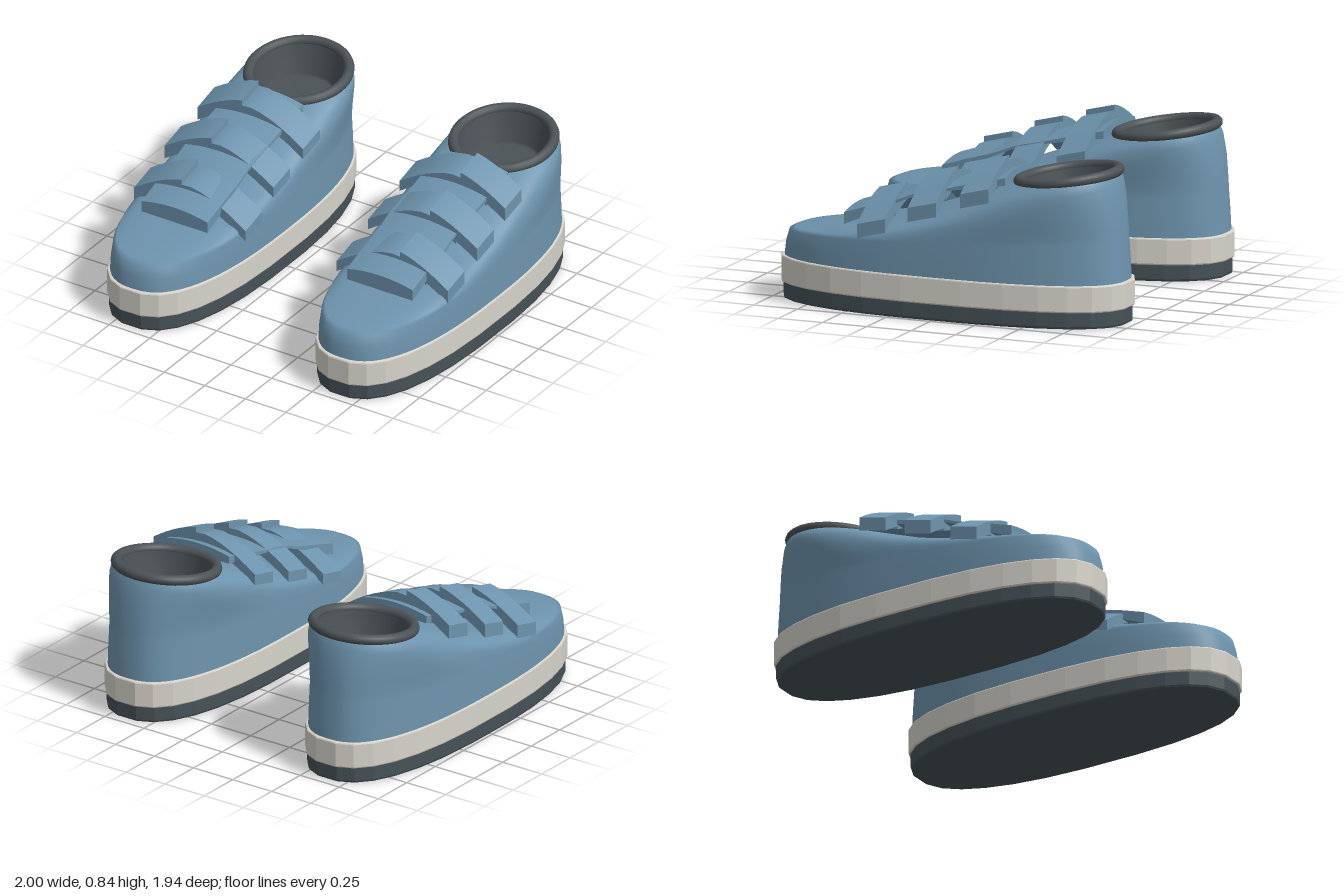
import * as THREE from 'three';

const material = (name, color, side = THREE.FrontSide) => {
  const m = new THREE.MeshStandardMaterial({ color, side });
  m.name = name;
  return m;
};

// Piecewise linear lookup through [position, value] pairs, position descending
function lookup(table, p) {
  for (let i = 0; i < table.length - 1; i++) {
    const [a, va] = table[i], [b, vb] = table[i + 1];
    if (p >= b) return THREE.MathUtils.lerp(va, vb, (p - a) / (b - a));
  }
  return table[table.length - 1][1];
}

// Point on a unit oval: power 1 is an ellipse, a lower power is fuller
function ovalPoint(a, power) {
  const f = (v) => Math.sign(v) * Math.abs(v) ** power;
  return [f(Math.sin(a)), f(Math.cos(a))];
}

// Bevelled oval slab between two heights
function ovalSlab(rx, rz, y0, y1, bevel) {
  const shape = new THREE.Shape();
  const sides = 28;
  for (let i = 0; i < sides; i++) {
    const [u, v] = ovalPoint(((i + 0.5) / sides) * Math.PI * 2, 0.8);
    const x = u * (rx - bevel), z = -v * (rz - bevel);
    if (i) shape.lineTo(x, z); else shape.moveTo(x, z);
  }
  const geo = new THREE.ExtrudeGeometry(shape, {
    depth: y1 - y0 - 2 * bevel, bevelEnabled: true,
    bevelSize: bevel, bevelThickness: bevel, bevelSegments: 2,
  });
  geo.rotateX(-Math.PI / 2);
  geo.translate(0, y0 + bevel, 0);
  return geo;
}

// Box bent so its top and bottom follow two height functions
function bentSlab(x0, x1, z0, z1, top, bottom, nx = 10, nz = 1) {
  const geo = new THREE.BoxGeometry(1, 1, 1, nx, 1, nz);
  const p = geo.attributes.position;
  for (let i = 0; i < p.count; i++) {
    const x = THREE.MathUtils.lerp(x0, x1, p.getX(i) + 0.5);
    const z = THREE.MathUtils.lerp(z0, z1, p.getZ(i) + 0.5);
    p.setXYZ(i, x, p.getY(i) > 0 ? top(x, z) : bottom(x, z), z);
  }
  geo.computeVertexNormals();
  return geo;
}

// Skin through tilted oval rings:
// [front z, front y, back z, back y, half width, oval power, sideways shift]
function upperGeometry(inward) {
  const rings = [
    [0.955, 0.215, -0.955, 0.215, 0.349, 0.8, 0],
    [0.945, 0.30, -0.948, 0.34, 0.348, 0.8, 0],
    [0.925, 0.365, -0.94, 0.45, 0.346, 0.8, 0],
    [0.89, 0.379, -0.938, 0.49, 0.345, 0.8, 0],
    [0.65, 0.414, -0.932, 0.56, 0.343, 0.81, 0],
    [0.40, 0.455, -0.925, 0.63, 0.34, 0.83, 0.002],
    [0.18, 0.515, -0.917, 0.68, 0.335, 0.86, 0.004],
    [-0.05, 0.60, -0.908, 0.73, 0.324, 0.9, 0.006],
    [-0.25, 0.68, -0.897, 0.765, 0.3, 0.96, 0.008],
    [-0.355, 0.72, -0.885, 0.79, 0.265, 1, 0.01],
  ];
  const n = 64, pos = [], index = [];
  for (const [zf, yf, zb, yb, w, power, shift] of rings) {
    for (let i = 0; i < n; i++) {
      const [u, v] = ovalPoint((i / n) * Math.PI * 2, power);
      const t = (1 + v) / 2;
      pos.push(u * w + shift * inward, THREE.MathUtils.lerp(yb, yf, t), THREE.MathUtils.lerp(zb, zf, t));
    }
  }
  for (let r = 0; r < rings.length - 1; r++) {
    for (let i = 0; i < n; i++) {
      const j = (i + 1) % n, a = r * n + i, b = r * n + j;
      index.push(a, b, a + n, b, b + n, a + n);
    }
  }
  const geo = new THREE.BufferGeometry();
  geo.setAttribute('position', new THREE.Float32BufferAttribute(pos, 3));
  geo.setIndex(index);
  geo.computeVertexNormals();
  return geo;
}

export function createModel() {
  const blue = material('blue fabric', 0x6e94ae);
  const blueOpen = material('blue upper', 0x6e94ae, THREE.DoubleSide);
  const white = material('off-white rubber', 0xd6d4cb);
  const dark = material('dark rubber', 0x465157);
  const grey = material('grey padding', 0x4b5255);
  const greyOpen = material('grey lining', 0x4b5255, THREE.DoubleSide);

  // outward is +1 or -1: the side of the shoe that carries the strap tabs
  function createShoe(outward) {
    const shoe = new THREE.Group();
    const add = (name, geo, mat, parent = shoe) => {
      const mesh = new THREE.Mesh(geo, mat);
      mesh.name = name;
      parent.add(mesh);
      return mesh;
    };

    add('outsole', ovalSlab(0.351, 0.964, 0, 0.1, 0.014), dark);
    add('midsole', ovalSlab(0.358, 0.976, 0.088, 0.23, 0.008), white);
    add('upper', upperGeometry(-outward), blueOpen);

    // Collar, tongue and straps sit slightly towards the inner side
    const fittings = new THREE.Group();
    fittings.name = 'fittings';
    fittings.position.x = -0.01 * outward;
    shoe.add(fittings);

    // Padded collar tilted up towards the heel, with a lining that leans forward
    const opening = new THREE.Group();
    opening.name = 'opening';
    opening.position.set(0, 0.758, -0.622);
    opening.rotation.x = 0.134;
    fittings.add(opening);
    add('collar', new THREE.TorusGeometry(0.262, 0.028, 12, 48).rotateX(Math.PI / 2), grey, opening);
    const profile = [[0, -0.16], [0.195, -0.16], [0.205, -0.15], [0.236, 0]];
    const lining = new THREE.LatheGeometry(profile.map(([x, y]) => new THREE.Vector2(x, y)), 48);
    lining.applyMatrix4(new THREE.Matrix4().set(1, 0, 0, 0, 0, 1, 0, 0, 0, -0.22, 1, 0, 0, 0, 0, 1));
    add('lining', lining, greyOpen, opening);

    // Arched tongue
    const tongueTop = [[0.56, 0.522], [0.43, 0.565], [0.27, 0.61], [0.15, 0.66],
      [-0.03, 0.70], [-0.14, 0.73], [-0.35, 0.78]];
    const tongueBottom = [[0.56, 0.435], [0.43, 0.49], [0.27, 0.57], [0.15, 0.62],
      [-0.03, 0.66], [-0.14, 0.68], [-0.35, 0.715]];
    add('tongue', bentSlab(-0.203, 0.203, -0.35, 0.56,
      (x, z) => lookup(tongueTop, z) - 0.025 * (x / 0.203) ** 2,
      (x, z) => lookup(tongueBottom, z), 8, 14), blue, fittings);

    // Three straps, each with a thicker tab folded over the outer half
    const straps = [
      { z: 0.35, y: 0.638, inner: 0.352, outer: 0.335 },
      { z: 0.065, y: 0.745, inner: 0.34, outer: 0.332 },
      { z: -0.225, y: 0.828, inner: 0.335, outer: 0.315 },
    ];
    for (const { z: zc, y, inner, outer } of straps) {
      const arch = (lift) => (x, z) => y + lift - 0.25 * (z - zc) - 0.15 * (Math.abs(x) / 0.34) ** 1.6;
      const piece = (name, a, b, hi, lo) => add(name, bentSlab(
        Math.min(a * outward, b * outward), Math.max(a * outward, b * outward),
        zc - 0.08, zc + 0.08, arch(hi), arch(lo)), blue, fittings);
      piece('strap', -inner, 0.2, -0.03, -0.09);
      piece('strapTab', 0.042, outer, 0, -0.075);
    }
    return shoe;
  }

  const model = new THREE.Group();
  model.name = 'pairOfShoes';
  for (const side of [1, -1]) {
    const shoe = createShoe(side);
    shoe.name = side > 0 ? 'leftShoe' : 'rightShoe';
    shoe.position.x = side * 0.642;
    model.add(shoe);
  }
  return model;
}
